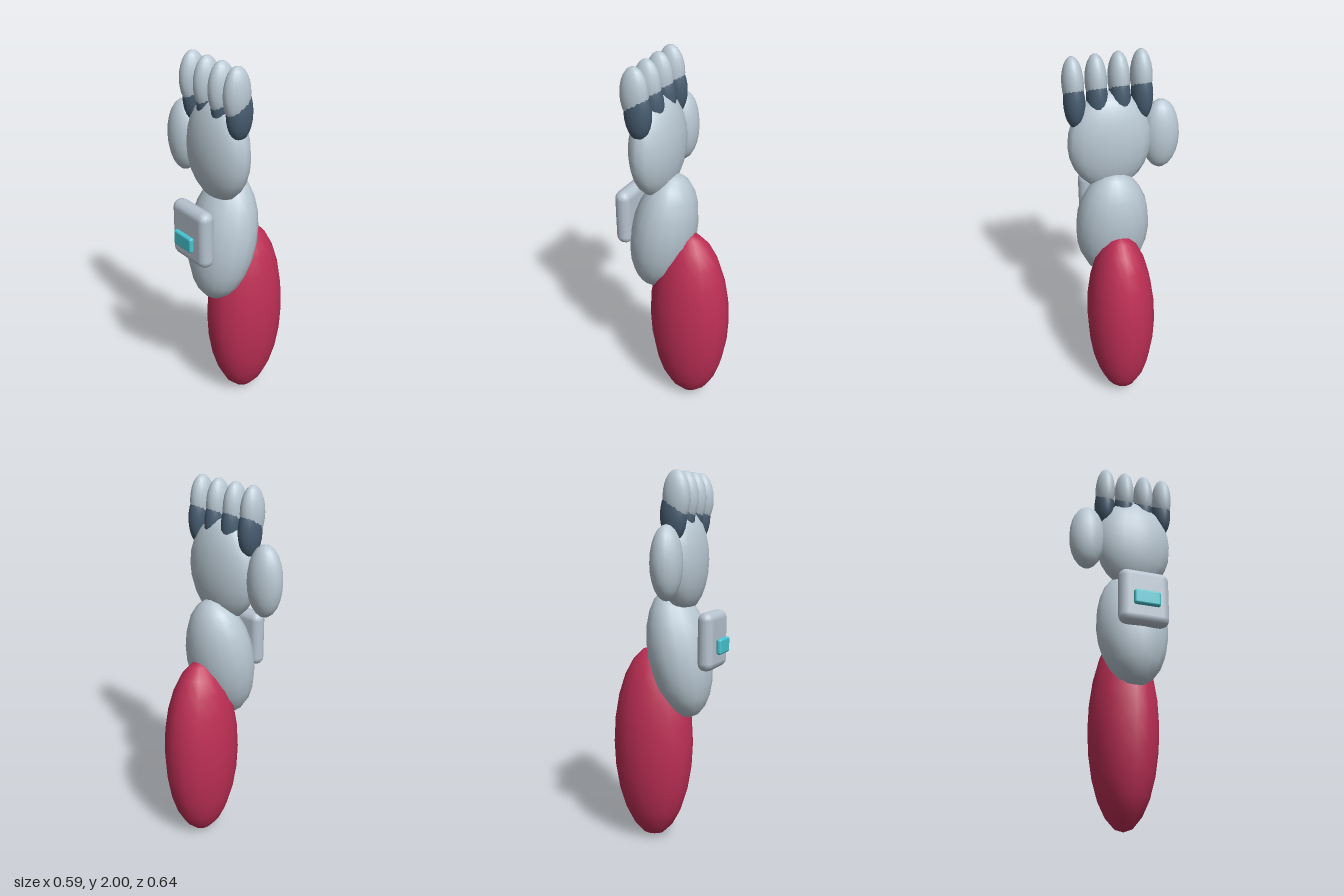
import * as THREE from 'three';
import { RoundedBoxGeometry } from 'three/addons/geometries/RoundedBoxGeometry.js';

function material(name, color) {
  const m = new THREE.MeshStandardMaterial({ color });
  m.name = name;
  return m;
}

export function createModel() {
  const sleeveRed = material('sleeve red', 0xbe2f55);
  const armourGrey = material('armour grey', 0xbac9d4);
  const podGrey = material('pod grey', 0xb8c4d1);
  const jointSlate = material('joint slate', 0x475c70);
  const screenCyan = material('screen cyan', 0x48c6d2);

  const arm = new THREE.Group();
  arm.name = 'arm';

  function add(name, geometry, mat, position, parent = arm) {
    const mesh = new THREE.Mesh(geometry, mat);
    mesh.name = name;
    mesh.position.set(...position);
    parent.add(mesh);
    return mesh;
  }

  // Smooth ellipsoid given by its three radii
  function ellipsoid(name, radii, mat, position, parent) {
    const geometry = new THREE.SphereGeometry(1, 16, 12).scale(...radii);
    return add(name, geometry, mat, position, parent);
  }

  // Arm segments, the forearm leaning back at the wrist
  ellipsoid('upperArm', [0.183, 0.54, 0.225], sleeveRed, [0.071, 0.54, -0.095]);
  const forearm = ellipsoid('forearm', [0.195, 0.355, 0.168], armourGrey, [0.071, 1.05, 0.06]);
  forearm.rotation.x = -0.19;

  // Hand
  ellipsoid('palm', [0.215, 0.27, 0.115], armourGrey, [0.071, 1.545, 0.087]);
  ellipsoid('thumb', [0.098, 0.19, 0.082], armourGrey, [-0.197, 1.54, 0.096]);

  // Four fingers, each a dark knuckle with a light tip
  for (let i = 0; i < 4; i++) {
    const finger = new THREE.Group();
    finger.name = `finger${i + 1}`;
    finger.position.x = -0.098 + i * 0.1127;
    arm.add(finger);
    ellipsoid('knuckle', [0.053, 0.135, 0.071], jointSlate, [0, 1.775, 0.093], finger);
    ellipsoid('fingertip', [0.053, 0.136, 0.073], armourGrey, [0, 1.864, 0.109], finger);
  }

  // Wrist device with its screen
  add('wristPod', new RoundedBoxGeometry(0.272, 0.308, 0.087, 2, 0.043), podGrey, [0.071, 1.13, 0.245]);
  add('wristScreen', new RoundedBoxGeometry(0.142, 0.082, 0.028, 3, 0.012), screenCyan, [0.071, 1.104, 0.305]);

  return arm;
}
